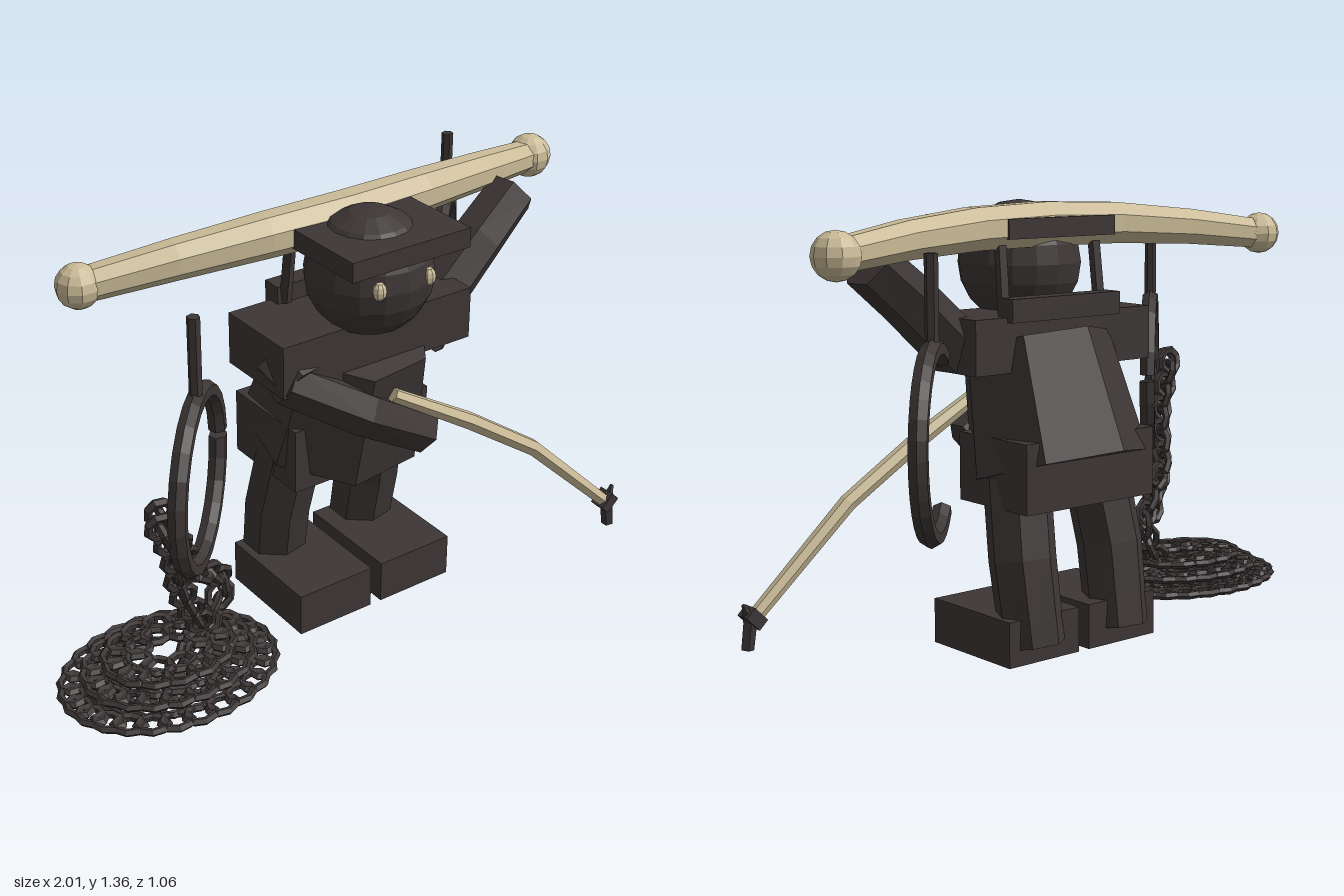
import * as THREE from 'three';

const V = (x, y, z) => new THREE.Vector3(x, y, z);

export function createModel() {
  const model = new THREE.Group();
  const dark = new THREE.MeshStandardMaterial({ color: 0x3d3636, flatShading: true });
  dark.name = 'dark iron';
  const bone = new THREE.MeshStandardMaterial({ color: 0xcbbc98, flatShading: true });
  bone.name = 'pale wood';

  const add = (name, geo, mat, parent = model) => {
    const m = new THREE.Mesh(geo, mat);
    m.name = name;
    parent.add(m);
    return m;
  };
  // box given by its limits on each axis
  const box = (name, [x0, x1], [y0, y1], [z0, z1], mat = dark) =>
    add(name, new THREE.BoxGeometry(x1 - x0, y1 - y0, z1 - z0), mat)
      .position.set((x0 + x1) / 2, (y0 + y1) / 2, (z0 + z1) / 2);

  // closed faceted limb through points, one radius per point
  function limb(name, pts, radii, sides, mat, spin = 0) {
    const pos = [], idx = [], n = pts.length;
    const ref = Math.abs(pts[n - 1].clone().sub(pts[0]).normalize().y) > 0.8 ? V(0, 0, 1) : V(0, 1, 0);
    pts.forEach((p, i) => {
      const t = pts[Math.min(i + 1, n - 1)].clone().sub(pts[Math.max(i - 1, 0)]).normalize();
      const u = ref.clone().cross(t).normalize(), v = t.clone().cross(u);
      for (let k = 0; k < sides; k++) {
        const a = spin + k / sides * Math.PI * 2;
        const q = p.clone().addScaledVector(u, Math.cos(a) * radii[i]).addScaledVector(v, Math.sin(a) * radii[i]);
        pos.push(q.x, q.y, q.z);
      }
    });
    for (let i = 0; i < n - 1; i++) for (let k = 0; k < sides; k++) {
      const a = i * sides + k, b = i * sides + (k + 1) % sides;
      idx.push(a, b, b + sides, a, b + sides, a + sides);
    }
    const last = (n - 1) * sides;
    for (let k = 1; k < sides - 1; k++) idx.push(0, k + 1, k, last, last + k, last + k + 1);
    const g = new THREE.BufferGeometry();
    g.setAttribute('position', new THREE.Float32BufferAttribute(pos, 3));
    g.setIndex(idx);
    g.computeVertexNormals();
    return add(name, g, mat);
  }

  // feet and legs
  box('rightBoot', [-0.2, 0.07], [0, 0.14], [-0.13, 0.24]);
  box('leftBoot', [0.11, 0.38], [0, 0.14], [-0.13, 0.24]);
  for (const [name, x, s] of [['rightLeg', -0.065, -1], ['leftLeg', 0.245, 1]])
    limb(name, [V(x, 0.54, 0), V(x + s * 0.02, 0.3, -0.05), V(x + s * 0.015, 0.045, -0.09)],
      [0.105, 0.105, 0.1], 7, dark);

  // forward-leaning torso
  box('hips', [-0.16, 0.34], [0.46, 0.67], [-0.165, 0.155]);
  limb('torso', [V(0.09, 0.555, -0.005), V(0.09, 0.925, 0.105)], [0.285, 0.235], 7, dark, -Math.PI / 2 + 0.1);
  box('shoulders', [-0.267, 0.417], [0.86, 1.025], [-0.03, 0.25]);
  box('collar', [-0.12, 0.3], [1.01, 1.08], [-0.055, 0.01]);
  limb('leftPoleRest', [V(0.285, 1.0, 0), V(0.275, 1.23, 0.03)], [0.02, 0.02], 5, dark);
  limb('rightPoleRest', [V(-0.09, 1.0, 0), V(-0.09, 1.23, 0.03)], [0.02, 0.02], 5, dark);

  // arms
  limb('leftArm', [V(0.37, 0.92, 0.115), V(0.57, 1.09, 0.095), V(0.72, 1.2, 0.07)], [0.09, 0.085, 0.08], 6, dark);
  limb('rightUpperArm', [V(-0.2, 0.93, 0.13), V(-0.18, 0.87, 0.22)], [0.09, 0.08], 6, dark);
  limb('rightForearm', [V(-0.23, 0.89, 0.2), V(0, 0.745, 0.27), V(0.225, 0.61, 0.28)], [0.07, 0.075, 0.07], 6, dark);

  // head with square-brimmed cap
  add('head', new THREE.SphereGeometry(0.192, 16, 10), dark).position.set(0.065, 1.165, 0.205);
  box('hatBrim', [-0.14, 0.275], [1.25, 1.31], [-0.01, 0.4]);
  for (const [name, x] of [['rightEye', -0.025], ['leftEye', 0.15]]) {
    const eye = add(name, new THREE.SphereGeometry(0.025, 8, 6), bone);
    eye.position.set(x, 1.183, 0.372);
    eye.scale.set(0.9, 1.15, 0.75);
  }

  // curved carrying pole with end knobs
  const bow = new THREE.CatmullRomCurve3([V(-0.735, 1.232, -0.05), V(-0.33, 1.275, 0.035),
    V(0.08, 1.287, 0.075), V(0.5, 1.275, 0.03), V(0.91, 1.235, -0.065)]);
  limb('carryingPole', bow.getPoints(6), [0.05, 0.06, 0.068, 0.072, 0.068, 0.06, 0.05], 8, bone, Math.PI / 8);
  add('rightKnob', new THREE.SphereGeometry(0.066, 10, 8), bone).position.set(-0.738, 1.234, -0.05);
  add('leftKnob', new THREE.SphereGeometry(0.07, 10, 8), bone).position.set(0.91, 1.235, -0.065);

  // walking staff with iron tip
  limb('staff', [V(0.085, 0.79, 0.305), V(0.36, 0.625, 0.335), V(0.61, 0.455, 0.36), V(0.93, 0.15, 0.385)],
    [0.022, 0.028, 0.027, 0.023], 6, bone);
  const tip = add('staffCollar', new THREE.BoxGeometry(0.06, 0.04, 0.055), dark);
  tip.position.set(0.935, 0.15, 0.385);
  tip.rotation.z = 0.8;
  limb('staffSpike', [V(0.968, 0.195, 0.38), V(0.945, 0.14, 0.385), V(0.955, 0.055, 0.388)], [0.006, 0.022, 0.02], 5, dark);

  // shackles: open rings standing at 45 degrees, each under a short rod
  for (const [name, x, z, half] of [['right', -0.6, 0.32, Math.PI - 0.04], ['left', 0.795, -0.335, 2.16]]) {
    const group = new THREE.Group();
    group.name = name + 'Shackle';
    group.position.set(x, 0.752, z);
    group.rotation.y = Math.PI / 4;
    model.add(group);
    const ring = add('ring', new THREE.TorusGeometry(0.25, 0.028, 6, 22, half * 2), dark, group);
    ring.rotation.z = name === 'right' ? 0.08 : -half;
    ring.material = dark;
    for (const a of [0, half * 2]) { // ring ends
      const cap = add('ringEnd', new THREE.CircleGeometry(0.028, 6), dark, ring);
      cap.position.set(Math.cos(a) * 0.25, Math.sin(a) * 0.25, 0);
      cap.rotation.set(Math.PI / 2, a, 0, 'ZXY');
      cap.lookAt(0, 0, 0);
      cap.quaternion.setFromUnitVectors(V(0, 0, 1),
        V(-Math.sin(a), Math.cos(a), 0).multiplyScalar(a ? 1 : -1));
    }
    add('rod', new THREE.CylinderGeometry(0.019, 0.019, 0.25, 6), dark, group).position.y = 0.375;
  }

  // chain links
  const chain = new THREE.Group();
  chain.name = 'chain';
  model.add(chain);
  const linkGeo = new THREE.TorusGeometry(0.035, 0.0125, 5, 8).scale(1.25, 1, 1);
  const flatGeo = linkGeo.clone().rotateX(Math.PI / 2);

  // flat elliptical coils on the ground
  for (const [y, r] of [[0.05, 0.305], [0.05, 0.225], [0.088, 0.235], [0.088, 0.165], [0.125, 0.17], [0.125, 0.1]]) {
    const count = Math.round(r * 84);
    for (let i = 0; i < count; i++) {
      const a = i / count * Math.PI * 2;
      const l = add('coilLink', flatGeo, dark, chain);
      l.position.set(-0.655 + Math.cos(a) * r, y, 0.205 + Math.sin(a) * r * 0.76);
      l.rotation.y = Math.atan2(-Math.cos(a) * 0.76, -Math.sin(a));
    }
  }
  // hanging strands, alternate links turned a quarter
  const strands = [
    [V(-0.81, 0.75, 0.46), V(-0.75, 0.62, 0.42), V(-0.7, 0.45, 0.37), V(-0.61, 0.27, 0.31)],
    [V(-0.78, 0.76, 0.41), V(-0.69, 0.58, 0.36), V(-0.6, 0.41, 0.26), V(-0.49, 0.33, 0.2),
      V(-0.44, 0.25, 0.17), V(-0.5, 0.15, 0.18), V(-0.6, 0.055, 0.2)],
  ];
  for (const pts of strands) {
    const curve = new THREE.CatmullRomCurve3(pts);
    const count = Math.round(curve.getLength() / 0.045);
    for (let i = 0; i <= count; i++) {
      const l = add('hangingLink', linkGeo, dark, chain);
      l.position.copy(curve.getPointAt(i / count));
      l.quaternion.setFromUnitVectors(V(1, 0, 0), curve.getTangentAt(i / count));
      l.rotateX(i % 2 * Math.PI / 2 + 0.4);
    }
  }
  return model;
}
